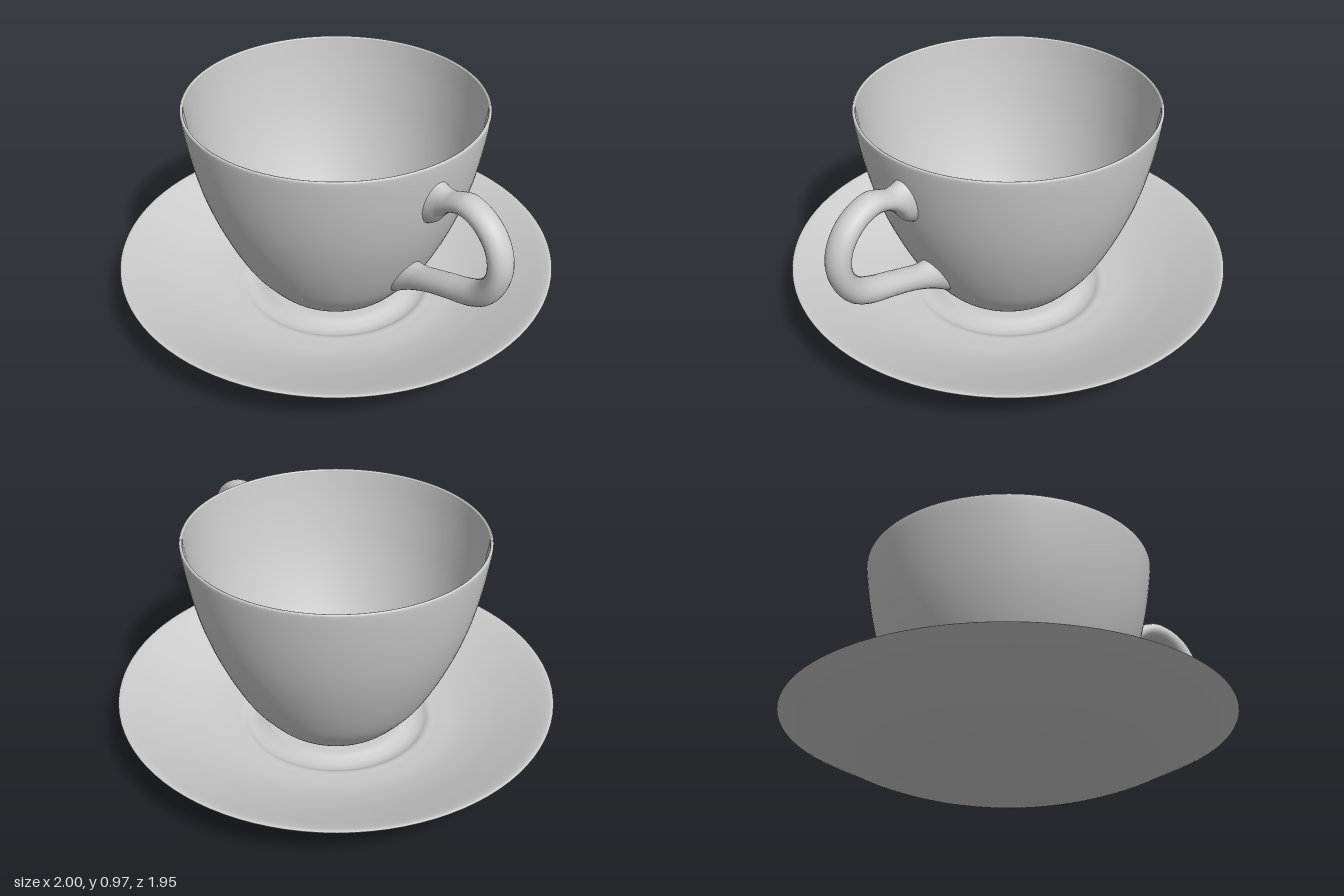
import * as THREE from 'three';

const CENTRE_X = -0.025; // axis shared by cup and saucer

// smooth curve through a few points, kept free of overshoot
function smooth(points, count) {
  const curve = new THREE.CatmullRomCurve3(points.map(([x, y]) => new THREE.Vector3(x, y, 0)), false, 'centripetal');
  return curve.getPoints(count).map((p) => new THREE.Vector2(Math.max(p.x, 0), Math.max(p.y, 0)));
}

// turned part: profile runs from the outside bottom, over the rim, to the inside
function turned(name, profile, material) {
  const mesh = new THREE.Mesh(new THREE.LatheGeometry(profile, 96), material);
  mesh.name = name;
  mesh.position.x = CENTRE_X;
  return mesh;
}

// handle swept through oval sections, each given by its outer and inner edge point
function handleGeometry(outer, inner, halfWidth) {
  const steps = 96, sides = 24;
  const a = outer.length - 1;
  const curveO = new THREE.CatmullRomCurve3(outer.map(([x, y]) => new THREE.Vector3(x, y, 0)));
  const curveI = new THREE.CatmullRomCurve3(inner.map(([x, y]) => new THREE.Vector3(x, y, 0)));
  const pos = [], index = [];
  for (let i = 0; i <= steps; i++) {
    const o = curveO.getPoint(i / steps), n = curveI.getPoint(i / steps);
    // slight widening where the handle meets the cup
    const end = Math.min(i, steps - i) / steps * a;
    const w = halfWidth + 0.012 * Math.max(0, 1 - end / 1.5);
    for (let j = 0; j < sides; j++) {
      const t = j / sides * Math.PI * 2, c = Math.cos(t) / 2;
      pos.push((o.x + n.x) / 2 + (o.x - n.x) * c, (o.y + n.y) / 2 + (o.y - n.y) * c, w * Math.sin(t));
      if (i < steps) {
        const p = i * sides + j, q = i * sides + (j + 1) % sides;
        index.push(p, q, p + sides, q, q + sides, p + sides);
      }
    }
  }
  const g = new THREE.BufferGeometry();
  g.setAttribute('position', new THREE.Float32BufferAttribute(pos, 3));
  g.setIndex(index);
  g.computeVertexNormals();
  return g;
}

export function createModel() {
  const group = new THREE.Group();
  group.name = 'cupAndSaucer';
  const porcelain = new THREE.MeshStandardMaterial({ color: 0xcccccc });
  porcelain.name = 'porcelain';

  // saucer: underside, thin rim, dished top with a groove around the cup
  group.add(turned('saucer', smooth([
    [0, 0], [0.3, 0], [0.42, 0.008], [0.55, 0.028], [0.7, 0.079], [0.83, 0.141], [0.965, 0.21],
    [0.975, 0.217], [0.968, 0.22], [0.955, 0.218],
    [0.83, 0.162], [0.7, 0.106], [0.57, 0.064], [0.47, 0.05], [0.43, 0.046],
    [0.4, 0.032], [0.37, 0.028], [0.34, 0.034], [0.31, 0.045], [0.27, 0.048], [0, 0.048],
  ], 150), porcelain));

  // cup: outer wall, rounded lip, inner wall
  group.add(turned('cupWall', smooth([
    [0.25, 0.05], [0.275, 0.062], [0.31, 0.09], [0.36, 0.147], [0.415, 0.22], [0.47, 0.32],
    [0.518, 0.425], [0.557, 0.525], [0.59, 0.63], [0.617, 0.745], [0.637, 0.86], [0.649, 0.96],
    [0.648, 0.971], [0.643, 0.975], [0.637, 0.971], [0.635, 0.96],
    [0.62, 0.86], [0.597, 0.745], [0.568, 0.63], [0.533, 0.525], [0.492, 0.425],
    [0.44, 0.32], [0.378, 0.22], [0.315, 0.147], [0.227, 0.09],
  ], 150), porcelain));
  const v = (x, y) => new THREE.Vector2(x, y);
  group.add(turned('cupFloor', [v(0.227, 0.09), v(0, 0.09)], porcelain));
  group.add(turned('cupBase', [v(0, 0.05), v(0.25, 0.05)], porcelain));

  // handle
  const outer = [
    [0.606, 0.885], [0.628, 0.876], [0.67, 0.87], [0.72, 0.888], [0.77, 0.9], [0.85, 0.882], [0.93, 0.83],
    [0.983, 0.75], [1, 0.66], [0.977, 0.56], [0.92, 0.475], [0.84, 0.425], [0.72, 0.388],
    [0.6, 0.346], [0.51, 0.302], [0.44, 0.256], [0.388, 0.222],
  ];
  const inner = [
    [0.574, 0.675], [0.612, 0.7], [0.65, 0.75], [0.695, 0.79], [0.755, 0.81], [0.815, 0.8], [0.865, 0.765],
    [0.897, 0.72], [0.907, 0.65], [0.885, 0.595], [0.84, 0.548], [0.775, 0.515], [0.69, 0.485],
    [0.6, 0.453], [0.55, 0.437], [0.517, 0.432], [0.486, 0.43],
  ];
  const handle = new THREE.Mesh(handleGeometry(outer, inner, 0.056), porcelain);
  handle.name = 'handle';
  group.add(handle);
  return group;
}
